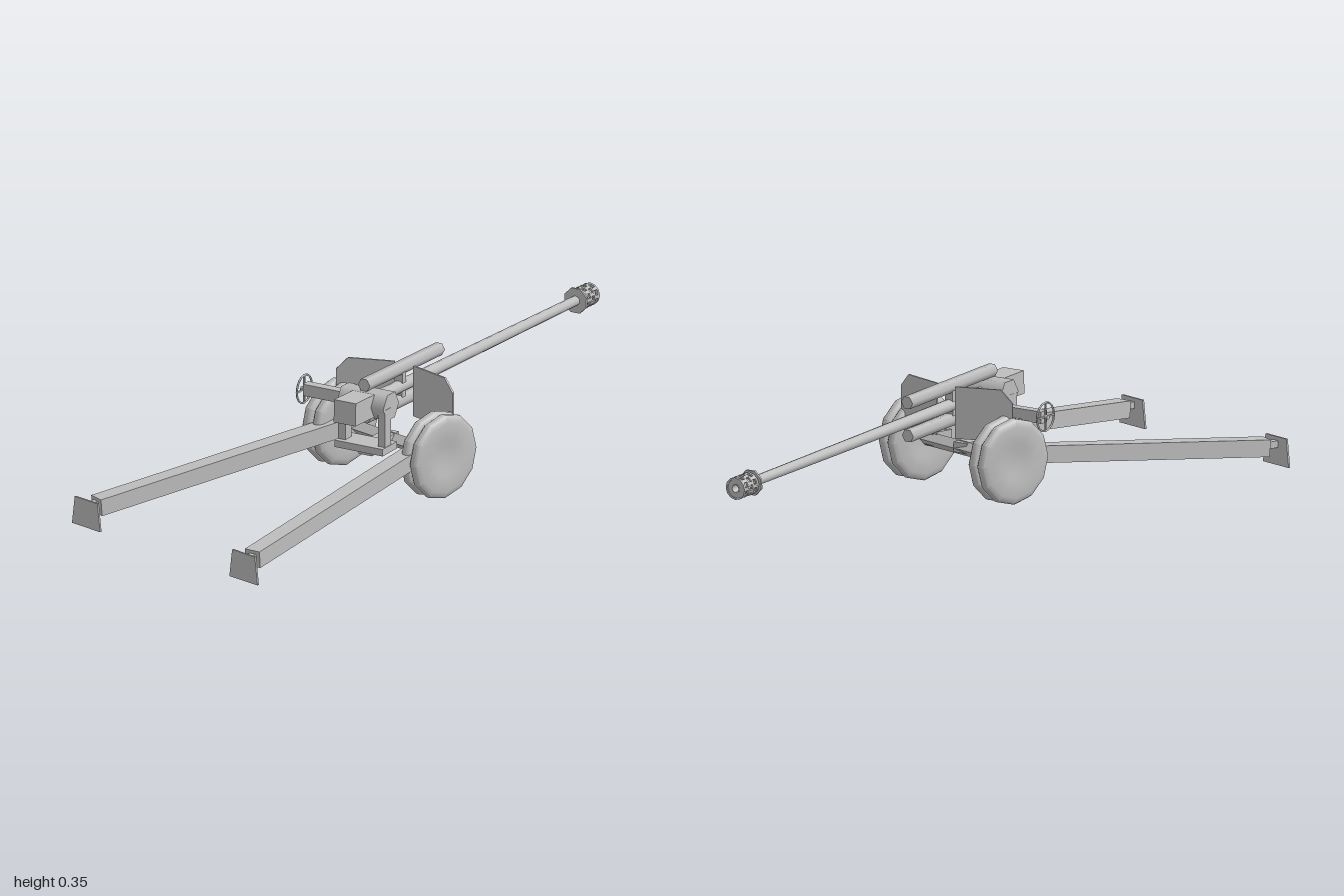
import * as THREE from 'three';
import { toCreasedNormals } from 'three/addons/utils/BufferGeometryUtils.js';

export function createModel() {
  const model = new THREE.Group();
  model.name = 'fieldGun';
  const grey = new THREE.MeshStandardMaterial({ color: 0xbebebe });
  grey.name = 'primer grey';

  const add = (parent, name, geo, x = 0, y = 0, z = 0) => {
    const m = new THREE.Mesh(geo, grey);
    m.name = name;
    m.position.set(x, y, z);
    parent.add(m);
    return m;
  };
  const group = (parent, name, x, y, z) => {
    const g = new THREE.Group();
    g.name = name;
    g.position.set(x, y, z);
    parent.add(g);
    return g;
  };
  const box = (w, h, d) => new THREE.BoxGeometry(w, h, d);
  // Cylinders along x or z
  const cylX = (r, len, n) => new THREE.CylinderGeometry(r, r, len, n).rotateZ(Math.PI / 2);
  const cylZ = (rBack, rFront, len, n, turn = 0) =>
    new THREE.CylinderGeometry(rBack, rFront, len, n).rotateY(turn).rotateX(Math.PI / 2);
  const lathe = (pts, n, crease) => toCreasedNormals(
    new THREE.LatheGeometry(pts.map(p => new THREE.Vector2(...p)), n), crease);
  const ring = (inner, outer, h, n) => lathe(
    [[inner, -h], [outer, -h], [outer, h], [inner, h], [inner, -h]], n, 0.8).rotateX(Math.PI / 2);
  const plate = (pts, t) => new THREE.ExtrudeGeometry(
    new THREE.Shape(pts.map(p => new THREE.Vector2(...p))),
    { depth: t, bevelEnabled: false }).translate(0, 0, -t / 2);

  // Axle: square bar standing on its edge
  add(model, 'axle', cylX(0.021, 0.4, 4).toNonIndexed(), 0, 0.126, 0.095).geometry.computeVertexNormals();

  // Twin wheels, trail legs and spades
  const wheelGeo = lathe([[0, -0.008], [0.035, -0.011], [0.06, -0.015], [0.105, -0.018], [0.121, -0.013],
    [0.126, -0.006], [0.126, 0.006], [0.121, 0.013], [0.105, 0.018], [0.06, 0.015], [0.035, 0.011], [0, 0.008]],
  12, 0.7).rotateZ(-Math.PI / 2);
  const spadeGeo = plate([[-0.057, 0], [0.057, 0], [0.046, 0.083], [-0.046, 0.083]], 0.006);
  for (const s of [1, -1]) {
    const side = s > 0 ? 'left' : 'right';
    add(model, side + 'InnerWheel', wheelGeo, s * 0.18, 0.126, 0.095);
    add(model, side + 'OuterWheel', wheelGeo, s * 0.219, 0.126, 0.095);

    const a = new THREE.Vector3(s * 0.16, 0.132, 0.14);
    const b = new THREE.Vector3(s * 0.316, 0.057, 0.957);
    const leg = add(model, side + 'TrailLeg', box(0.05, 0.05, a.distanceTo(b)));
    leg.position.copy(a).lerp(b, 0.5);
    leg.lookAt(b);
    add(model, side + 'LegHinge', box(0.045, 0.04, 0.07), s * 0.152, 0.128, 0.125);
    add(model, side + 'SpadeBracket', box(0.02, 0.02, 0.05), s * 0.319, 0.062, 0.972);
    add(model, side + 'Spade', spadeGeo, s * 0.319, 0, 0.994);
  }

  // Shield: two chamfered plates meeting in a shallow V
  const shieldGeo = w => plate([[0, 0.175], [w, 0.175], [w, 0.29], [w - 0.035, 0.327], [0, 0.327]], 0.006);
  add(model, 'leftShield', shieldGeo(0.17), 0.015, 0, 0.01).rotation.y = -0.06;
  const rightShield = add(model, 'rightShield', shieldGeo(0.172), -0.053, 0, 0.02);
  rightShield.rotation.y = Math.PI + 0.56;

  // Traversed upper mount
  const mount = group(model, 'upperMount', 0.03, 0, 0.21);
  mount.rotation.y = 0.253;
  add(mount, 'mountBase', box(0.16, 0.021, 0.08), 0, 0.147, 0.012);
  add(mount, 'pivotArm', box(0.045, 0.03, 0.15), 0, 0.13, -0.06);
  for (const s of [1, -1]) {
    add(mount, 'mountUpright', box(0.024, 0.115, 0.034), s * 0.066, 0.212, 0.018);
  }
  add(mount, 'sideArm', box(0.185, 0.035, 0.03), -0.16, 0.243, -0.076);
  const hand = group(mount, 'handWheel', -0.254, 0.243, -0.072);
  add(hand, 'handWheelRim', new THREE.TorusGeometry(0.042, 0.003, 6, 16).rotateY(Math.PI / 2));
  for (let i = 0; i < 2; i++) {
    add(hand, 'handWheelSpoke', box(0.004, 0.084, 0.005)).rotation.x = i * Math.PI / 2;
  }
  add(hand, 'handWheelHub', cylX(0.007, 0.02, 8));

  // Slightly depressed gun
  const gun = group(mount, 'gun', 0, 0.272, 0);
  gun.rotation.x = -0.042;
  add(gun, 'trunnion', cylX(0.044, 0.154, 6));
  add(gun, 'breech', box(0.072, 0.068, 0.115), 0, 0, 0.072);
  add(gun, 'barrel', cylZ(0.019, 0.0145, 1.17, 12), 0, 0, -0.585).rotation.z = 0;
  add(gun, 'upperRecoilCylinder', cylZ(0.02, 0.02, 0.42, 6, Math.PI / 6), 0, 0.056, -0.185);
  add(gun, 'lowerRecoilCylinder', cylZ(0.02, 0.02, 0.41, 6, Math.PI / 6), 0, -0.042, -0.19);
  add(gun, 'cradleBand', box(0.026, 0.1, 0.02), 0, 0.006, -0.18);

  // Slotted muzzle brake
  const brake = group(gun, 'muzzleBrake', 0, 0, -1.163);
  add(brake, 'brakeFlange', cylZ(0.039, 0.039, 0.007, 8, Math.PI / 8));
  add(brake, 'brakeLiner', ring(0.011, 0.0145, 0.038, 12), 0, 0, -0.04);
  for (let row = 0; row < 4; row++) {
    const z = -0.012 - row * 0.021;
    add(brake, 'brakeRing', ring(0.027, 0.033, 0.004, 12), 0, 0, z);
    if (row === 3) break;
    for (let i = 0; i < 8; i++) {
      const t = (i + (row % 2) / 2) * Math.PI / 4;
      add(brake, 'brakeBar', box(0.005, 0.01, 0.016), Math.cos(t) * 0.0295, Math.sin(t) * 0.0295, z - 0.0105)
        .rotation.z = t;
    }
  }
  add(brake, 'brakeFrontPlate', ring(0.012, 0.03, 0.003, 12), 0, 0, -0.074);
  add(brake, 'brakeNeck', cylZ(0.03, 0.03, 0.012, 12), 0, 0, -0.006);

  return model;
}
